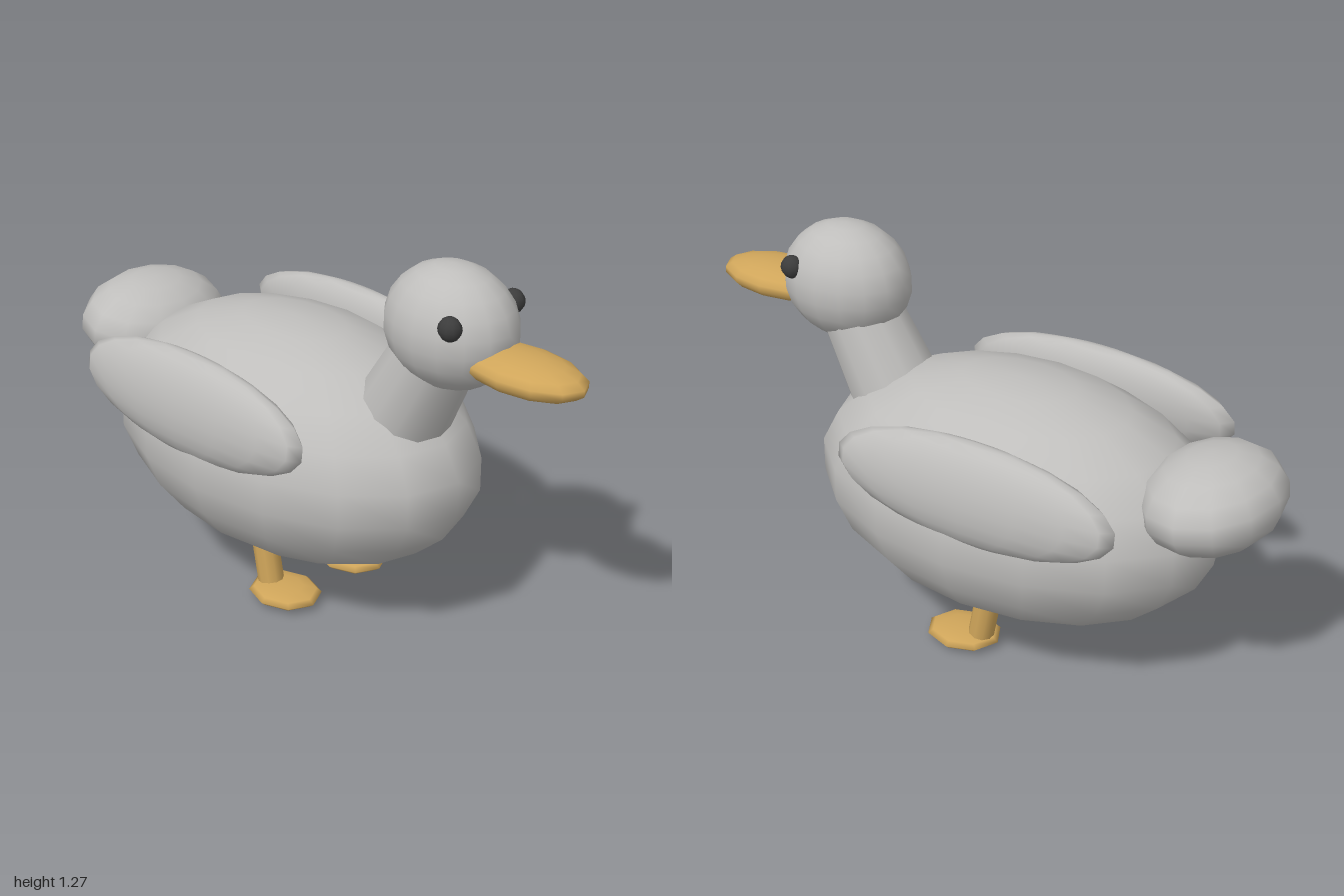
import * as THREE from 'three';

export function createModel() {
  const model = new THREE.Group();
  model.name = 'duck';

  const material = (name, color) => {
    const m = new THREE.MeshStandardMaterial({ color });
    m.name = name;
    return m;
  };
  const feather = material('grey feathers', 0xbfbebc);
  const gold = material('golden beak and feet', 0xcfa55a);
  const dark = material('dark eyes', 0x3c3c3c);

  const add = (name, geometry, mat, position) => {
    const mesh = new THREE.Mesh(geometry, mat);
    mesh.name = name;
    mesh.position.set(...position);
    model.add(mesh);
    return mesh;
  };

  // Low-segment smooth ellipsoid given by centre and half sizes
  const ellipsoid = (name, mat, position, radii, across = 16, rings = 11) => {
    const geometry = new THREE.SphereGeometry(1, across, rings).scale(...radii);
    return add(name, geometry, mat, position);
  };

  // Tapered round limb between two points
  const limb = (name, mat, from, to, rBottom, rTop, sides) => {
    const a = new THREE.Vector3(...from);
    const b = new THREE.Vector3(...to);
    const dir = b.clone().sub(a);
    const mid = a.clone().add(b).multiplyScalar(0.5);
    const mesh = add(name, new THREE.CylinderGeometry(rTop, rBottom, dir.length(), sides), mat, mid.toArray());
    mesh.quaternion.setFromUnitVectors(new THREE.Vector3(0, 1, 0), dir.normalize());
    return mesh;
  };

  // Body, neck and head
  ellipsoid('body', feather, [-0.12, 0.53, 0], [0.69, 0.39, 0.44]);
  limb('neck', feather, [0.345, 0.76, 0], [0.475, 1.0, 0], 0.148, 0.128, 12);
  ellipsoid('head', feather, [0.515, 1.085, 0], [0.216, 0.19, 0.174]);

  // Tail, slightly tipped
  ellipsoid('tail', feather, [-0.79, 0.71, 0], [0.212, 0.149, 0.262], 12, 9).rotation.z = -0.12;

  // Flat bill
  ellipsoid('beak', gold, [0.78, 1.025, 0], [0.215, 0.056, 0.12], 12, 9);

  // Mirrored parts
  for (const [side, s] of [['right', 1], ['left', -1]]) {
    ellipsoid(side + 'Wing', feather, [-0.19, 0.72, 0.38 * s], [0.483, 0.163, 0.076]).rotation.x = -0.13 * s;
    ellipsoid(side + 'Eye', dark, [0.625, 1.148, 0.138 * s], [0.037, 0.037, 0.033], 10, 8);
    limb(side + 'Leg', gold, [-0.078, 0.035, 0.155 * s], [-0.118, 0.25, 0.155 * s], 0.042, 0.042, 10);
    ellipsoid(side + 'Foot', gold, [-0.015, 0.028, 0.155 * s], [0.127, 0.026, 0.107], 8, 6);
  }

  return model;
}
